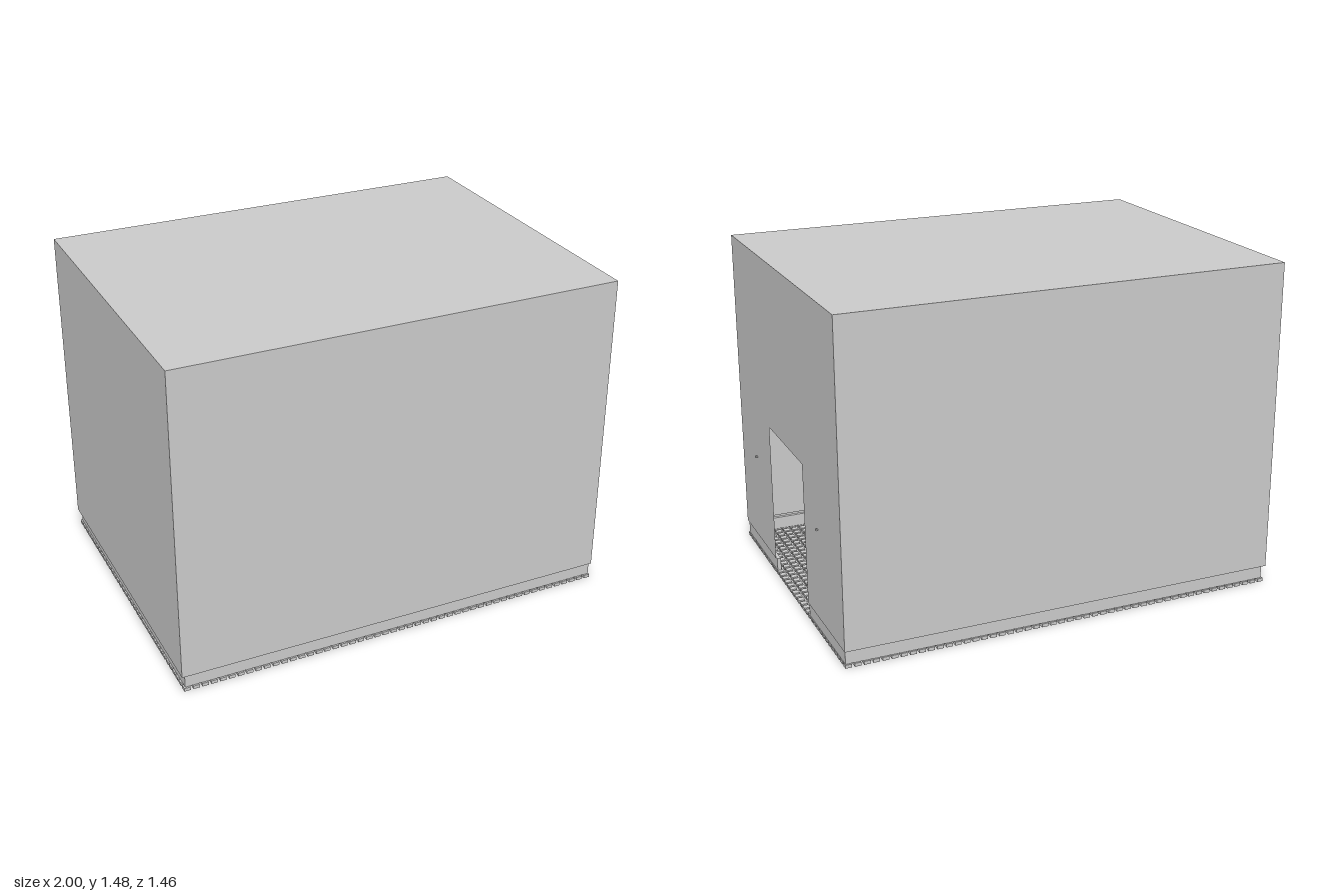
import * as THREE from 'three';
import { mergeGeometries } from 'three/addons/utils/BufferGeometryUtils.js';

const X0 = -1, X1 = 0.99, Z = 0.728;      // wall planes
const BASE = 0.075, TOP = 1.475;          // wall bottom and ceiling height
const DOOR_HALF = 0.243, DOOR_TOP = 0.71;

export function createModel() {
  const group = new THREE.Group();
  const mat = new THREE.MeshStandardMaterial({ color: 0xcccccc, flatShading: true });
  const sheetMat = new THREE.MeshStandardMaterial({ color: 0xcccccc, side: THREE.DoubleSide });

  const add = (name, geometry, material = mat) => {
    const mesh = new THREE.Mesh(geometry, material);
    mesh.name = name;
    group.add(mesh);
    return mesh;
  };
  // Box given by its two corners
  const box = (x0, y0, z0, x1, y1, z1) =>
    new THREE.BoxGeometry(x1 - x0, y1 - y0, z1 - z0)
      .translate((x0 + x1) / 2, (y0 + y1) / 2, (z0 + z1) / 2);

  // Thin walls and ceiling
  const width = X1 - X0, height = TOP - BASE;
  const midX = (X0 + X1) / 2, midY = (BASE + TOP) / 2;
  add('frontWall', new THREE.PlaneGeometry(width, height).translate(midX, midY, Z), sheetMat);
  add('backWall', new THREE.PlaneGeometry(width, height).rotateY(Math.PI).translate(midX, midY, -Z), sheetMat);
  add('rightWall', new THREE.PlaneGeometry(2 * Z, height).rotateY(-Math.PI / 2).translate(X0, midY, 0), sheetMat);
  add('ceiling', new THREE.PlaneGeometry(width, 2 * Z).rotateX(-Math.PI / 2).translate(midX, TOP, 0), sheetMat);

  // Wall with the doorway cut up from its lower edge
  const outline = [
    [-Z, BASE], [-DOOR_HALF, BASE], [-DOOR_HALF, DOOR_TOP], [DOOR_HALF, DOOR_TOP],
    [DOOR_HALF, BASE], [Z, BASE], [Z, TOP], [-Z, TOP],
  ].map(([x, y]) => new THREE.Vector2(x, y));
  add('doorWall', new THREE.ShapeGeometry(new THREE.Shape(outline)).rotateY(Math.PI / 2).translate(X1, 0, 0), sheetMat);

  // Skirting boards, set in slightly from the walls
  const t = 0.017, lo = 0.015, hi = 0.073;
  const bx0 = X0 + 0.015, bx1 = X1 - 0.005, bz = Z - 0.011;
  add('frontSkirting', box(bx0, lo, bz - t, bx1, hi, bz));
  add('backSkirting', box(bx0, lo, -bz, bx1, hi, -bz + t));
  add('rightSkirting', box(bx0, lo, -bz + t, bx0 + t, hi, bz - t));
  for (const s of [-1, 1]) {
    const a = s * DOOR_HALF, b = s * (bz - t);
    add('doorSkirting', box(bx1 - t, lo, Math.min(a, b), bx1, hi, Math.max(a, b)));
  }

  // Floor of small separate tiles
  const nx = 50, nz = 37, size = 0.028;
  const fx0 = -0.992, fx1 = 0.988, fz = 0.725;
  const stepX = (fx1 - fx0 - size) / (nx - 1), stepZ = (2 * fz - size) / (nz - 1);
  const tiles = [];
  for (let i = 0; i < nx; i++) {
    for (let j = 0; j < nz; j++) {
      const x = fx0 + i * stepX, z = -fz + j * stepZ;
      tiles.push(box(x, 0, z, x + size, 0.015, z + size));
    }
  }
  add('floorTiles', mergeGeometries(tiles));

  // Small fixings either side of the doorway
  for (const z of [0.478, -0.427]) add('wallFixing', box(X1 - 0.004, 0.487, z - 0.005, 1, 0.493, z + 0.005));

  return group;
}
